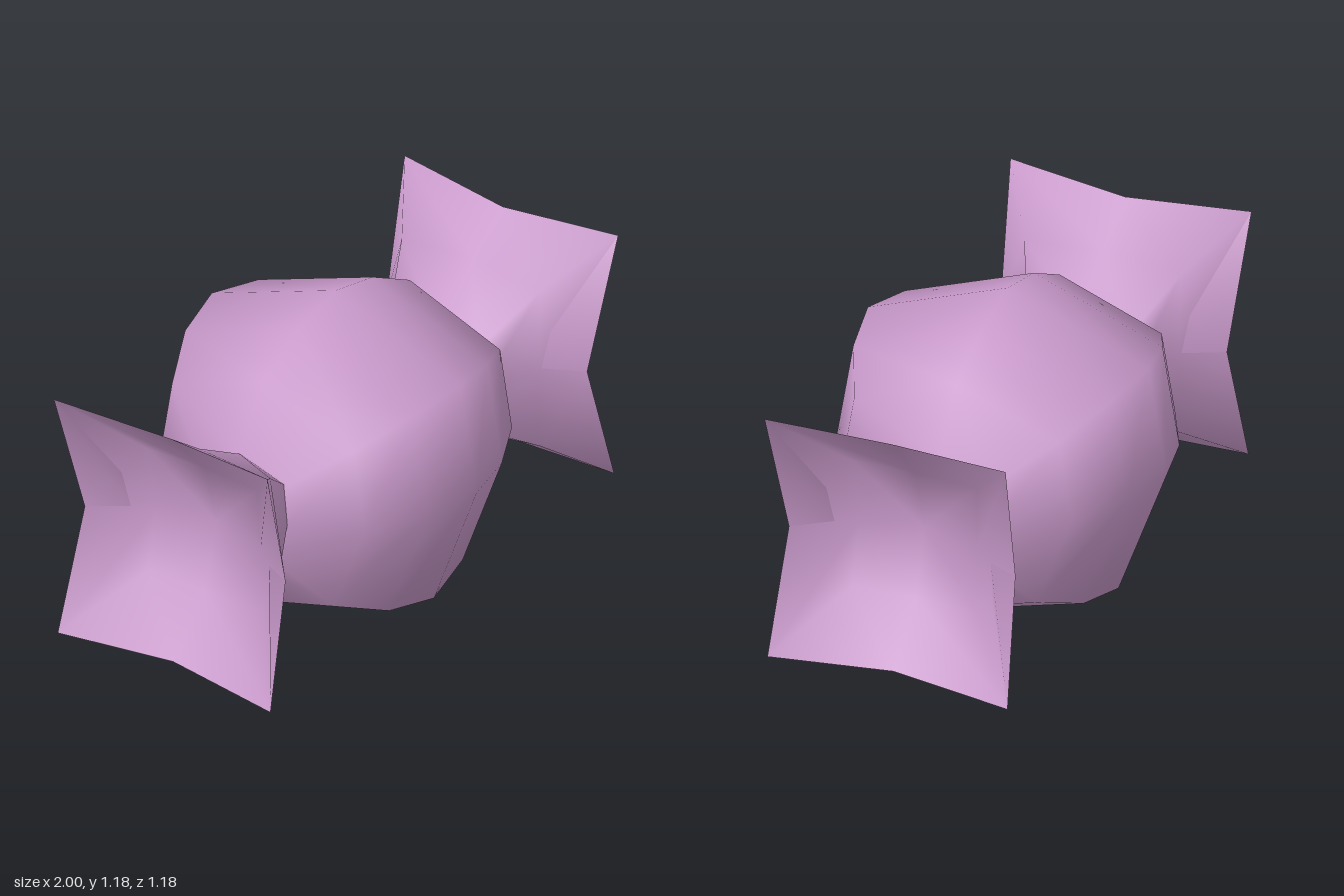
import * as THREE from 'three';

const CENTER_Y = 0.588;

// Eight points around the x axis, mirrored front to back. Each entry is [x, y, z], top to bottom.
function ring(half) {
  const back = half.slice(1, 4).reverse().map(([x, y, z]) => [x, y, -z]);
  return [...half, ...back];
}

// Smooth skin through rings of eight points, optionally closed by a tip point.
function loft(rings, tip) {
  const pos = rings.flat();
  const index = [];
  const n = 8;
  for (let i = 0; i < rings.length - 1; i++) {
    for (let j = 0; j < n; j++) {
      const k = (j + 1) % n;
      const a = i * n + j, b = i * n + k, c = a + n, d = b + n;
      index.push(a, b, c, b, d, c);
    }
  }
  if (tip) {
    const last = (rings.length - 1) * n;
    for (let j = 0; j < n; j++) index.push(last + j, last + (j + 1) % n, pos.length);
    pos.push(tip);
  }
  const g = new THREE.BufferGeometry();
  g.setAttribute('position', new THREE.Float32BufferAttribute(pos.flat(), 3));
  g.setIndex(index);
  g.computeVertexNormals();
  return g;
}

// Body cross-section scaled to a radius
function bodyRing(x, r) {
  const s = r / 0.588;
  return ring([
    [x, 0.588 * s, 0], [x, 0.395 * s, 0.52 * s], [x, 0, 0.588 * s],
    [x, -0.475 * s, 0.41 * s], [x, -0.588 * s, 0],
  ]);
}

export function createModel() {
  const model = new THREE.Group();
  const mauve = new THREE.MeshStandardMaterial({ color: 0xc899ca, side: THREE.DoubleSide });
  mauve.name = 'mauve wrapper';

  // Rounded sweet in the middle
  const profile = [[-0.55, 0.2], [-0.42, 0.428], [-0.21, 0.54], [0, 0.588], [0.21, 0.54], [0.42, 0.428], [0.55, 0.2]];
  const body = new THREE.Mesh(loft(profile.map(([x, r]) => bodyRing(x, r))), mauve);
  body.name = 'body';
  body.position.y = CENTER_Y;
  model.add(body);

  // Twisted wrapper end: neck, squared middle, pointed rim and a hollow dish
  const neck = ring([[0.55, 0.21, 0], [0.55, 0.155, 0.185], [0.55, 0, 0.2], [0.55, -0.16, 0.15], [0.55, -0.19, 0]]);
  const middle = ring([[0.78, 0.34, 0], [0.77, 0.32, 0.29], [0.77, 0, 0.285], [0.77, -0.29, 0.285], [0.77, -0.29, 0]]);
  const rim = ring([[0.95, 0.462, 0], [1, 0.482, 0.447], [0.86, 0.005, 0.42], [0.98, -0.443, 0.445], [0.93, -0.423, 0]]);
  const dish = ring([[0.75, 0.25, 0], [0.76, 0.25, 0.23], [0.73, 0, 0.22], [0.76, -0.23, 0.23], [0.75, -0.23, 0]]);
  const flareGeometry = loft([neck, middle, rim]);
  const dishGeometry = loft([rim, dish], [0.68, 0.01, 0]);

  for (const side of ['left', 'right']) {
    const end = new THREE.Group();
    end.name = side + 'WrapperEnd';
    const flare = new THREE.Mesh(flareGeometry, mauve);
    flare.name = side + 'Flare';
    const hollow = new THREE.Mesh(dishGeometry, mauve);
    hollow.name = side + 'Hollow';
    end.add(flare, hollow);
    end.position.y = CENTER_Y;
    if (side === 'right') end.rotation.y = Math.PI;
    model.add(end);
  }
  return model;
}
